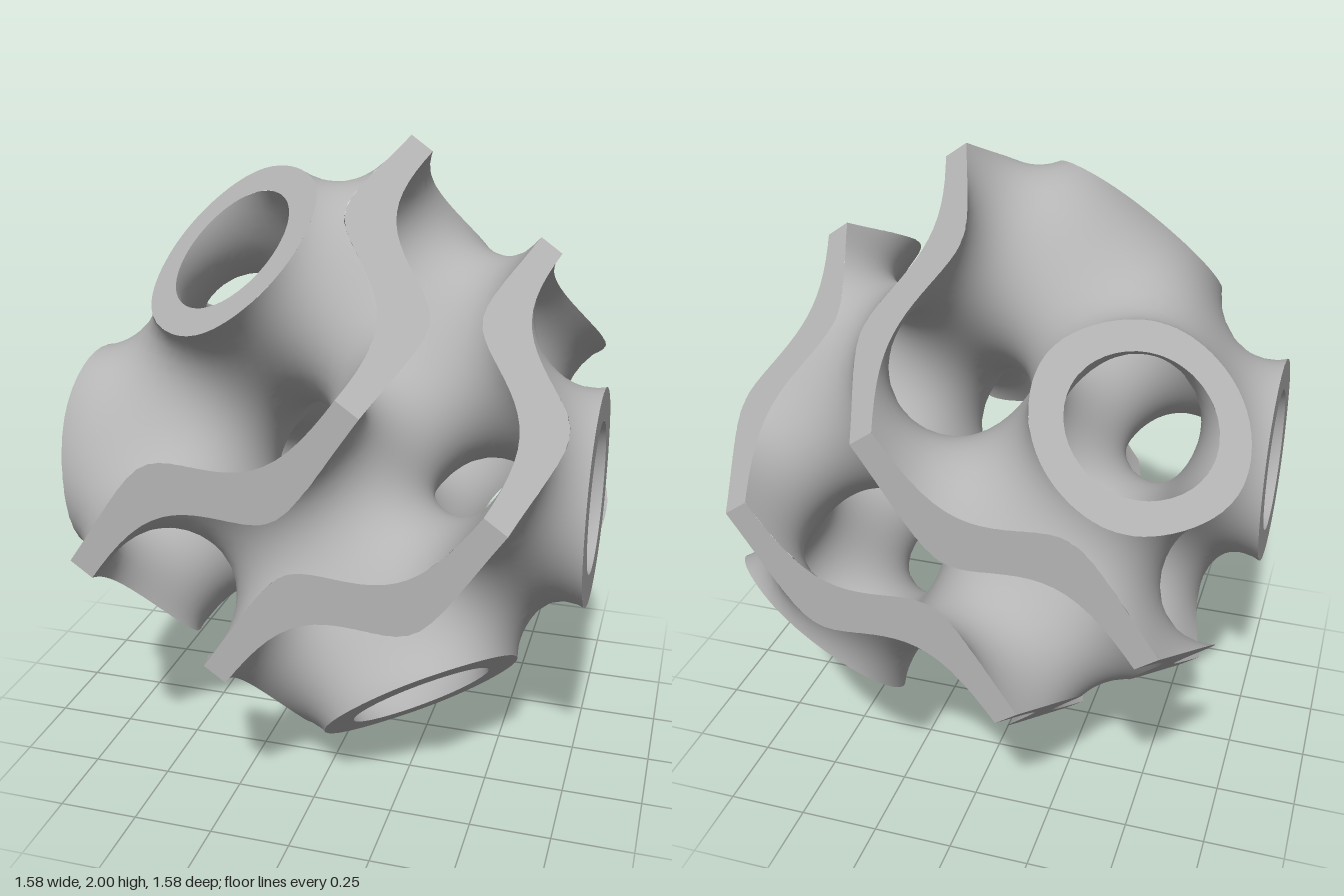
import * as THREE from 'three';
import { mergeVertices } from 'three/addons/utils/BufferGeometryUtils.js';

const R = 0.789;                 // distance from the centre to every cut face
const PERIOD = R * Math.SQRT2;   // length of one gyroid cell
const K = (2 * Math.PI) / PERIOD;
const LEVEL = 0.38;              // half thickness of the sheet in field units
const V = (x, y, z) => new THREE.Vector3(x, y, z);

// Gyroid field, its cell turned 45 degrees about y
function field(p) {
  const a = (K * (p.x + p.z)) / Math.SQRT2 + Math.PI / 4;
  const b = -K * p.y + Math.PI / 4;
  const c = (K * (p.x - p.z)) / Math.SQRT2 + Math.PI / 4;
  return Math.sin(a) * Math.cos(b) + Math.sin(b) * Math.cos(c) + Math.sin(c) * Math.cos(a);
}

function gradient(p) {
  const h = 1e-4;
  const slope = (d) => (field(p.clone().add(d)) - field(p.clone().sub(d))) / (2 * h);
  return V(slope(V(h, 0, 0)), slope(V(0, h, 0)), slope(V(0, 0, h)));
}

// Face normals of the rhombic dodecahedron that bounds the block
const normals = [V(1, 0, 0), V(-1, 0, 0), V(0, 0, 1), V(0, 0, -1)];
for (const sx of [-1, 1]) for (const sy of [-1, 1]) for (const sz of [-1, 1]) {
  normals.push(V(sx * 0.5, sy * Math.SQRT1_2, sz * 0.5));
}

// Keep the part of a polygon where f <= 0
function clip(poly, f) {
  const d = poly.map(f);
  const out = [];
  poly.forEach((p, i) => {
    const j = (i + 1) % poly.length;
    if (d[i] <= 0) out.push(p);
    if ((d[i] <= 0) !== (d[j] <= 0)) out.push(p.clone().lerp(poly[j], d[i] / (d[i] - d[j])));
  });
  return out;
}

function clipToBlock(poly) {
  for (const n of normals) {
    if (poly.length < 3) return [];
    poly = clip(poly, (p) => p.dot(n) - R - 1e-7);
  }
  return poly;
}

// Fan a polygon into triangles that face along 'facing'
function addPolygon(positions, poly, facing) {
  for (let i = 1; i + 1 < poly.length; i++) {
    const [a, b, c] = [poly[0], poly[i], poly[i + 1]];
    const n = b.clone().sub(a).cross(c.clone().sub(a));
    if (n.lengthSq() < 1e-16) continue;
    for (const p of n.dot(facing) > 0 ? [a, b, c] : [a, c, b]) positions.push(p.x, p.y, p.z);
  }
}

function makeGeometry(positions) {
  const g = new THREE.BufferGeometry();
  g.setAttribute('position', new THREE.Float32BufferAttribute(positions, 3));
  return g;
}

// Point on a grid edge where the field equals the level, moved onto the true surface
function crossing(a, b, level) {
  const p = a.p.clone().lerp(b.p, (level - a.f) / (b.f - a.f));
  const g = gradient(p);
  return p.addScaledVector(g, (level - field(p)) / Math.max(g.lengthSq(), 1));
}

// One smooth side of the sheet, traced through a grid of tetrahedra
function sheetSide(side) {
  const level = side * LEVEL;
  const step = 0.045;
  const nx = Math.ceil(R / step), ny = Math.ceil(1.03 / step);
  const orders = [[0, 1, 2], [0, 2, 1], [1, 0, 2], [1, 2, 0], [2, 0, 1], [2, 1, 0]];
  const positions = [];
  const corner = (i, j, k) => {
    const p = V(i * step, j * step, k * step);
    return { p, f: field(p) };
  };
  for (let i = -nx; i < nx; i++) for (let j = -ny; j < ny; j++) for (let k = -nx; k < nx; k++) {
    const mid = V(i + 0.5, j + 0.5, k + 0.5).multiplyScalar(step);
    if (normals.some((n) => mid.dot(n) > R + step)) continue;
    const cube = [];
    for (let m = 0; m < 8; m++) cube.push(corner(i + (m & 1), j + ((m >> 1) & 1), k + (m >> 2)));
    for (const [a, b] of orders) {
      const tet = [cube[0], cube[1 << a], cube[(1 << a) | (1 << b)], cube[7]];
      const lo = tet.filter((q) => q.f < level);
      const hi = tet.filter((q) => q.f >= level);
      if (!lo.length || !hi.length) continue;
      const pairs = lo.length === 2
        ? [[lo[0], hi[0]], [lo[0], hi[1]], [lo[1], hi[1]], [lo[1], hi[0]]]
        : lo.flatMap((l) => hi.map((h) => [l, h]));
      const poly = clipToBlock(pairs.map(([l, h]) => crossing(l, h, level)));
      if (poly.length > 2) addPolygon(positions, poly, gradient(poly[0]).multiplyScalar(side));
    }
  }
  const g = makeGeometry(positions);
  const normal = [];
  for (let i = 0; i < positions.length; i += 3) {
    const n = gradient(V(positions[i], positions[i + 1], positions[i + 2])).normalize();
    normal.push(side * n.x, side * n.y, side * n.z);
  }
  g.setAttribute('normal', new THREE.Float32BufferAttribute(normal, 3));
  return mergeVertices(g, 1e-5);
}

// Flat section of the sheet on one face of the block
function cutFace(n) {
  const positions = [];
  const count = 48;
  const t = V(-n.z, 0, n.x).normalize();
  const s = n.clone().cross(t);
  const at = (i, j) => n.clone().multiplyScalar(R)
    .addScaledVector(t, ((2 * i) / count - 1) * R * 1.01)
    .addScaledVector(s, ((2 * j) / count - 1) * R * 1.01);
  for (let i = 0; i < count; i++) for (let j = 0; j < count; j++) {
    const [a, b, c, d] = [at(i, j), at(i + 1, j), at(i + 1, j + 1), at(i, j + 1)];
    for (const tri of [[a, b, c], [a, c, d]]) {
      let poly = clipToBlock(tri);
      if (poly.length > 2) poly = clip(poly, (p) => field(p) - LEVEL);
      if (poly.length > 2) poly = clip(poly, (p) => -field(p) - LEVEL);
      if (poly.length > 2) addPolygon(positions, poly, n);
    }
  }
  const g = makeGeometry(positions);
  g.computeVertexNormals();
  return g;
}

export function createModel() {
  const grey = new THREE.MeshStandardMaterial({ color: 0xb4b4b4 });
  grey.name = 'plainGrey';
  const model = new THREE.Group();
  model.name = 'gyroidBlock';
  const add = (name, geometry) => {
    const mesh = new THREE.Mesh(geometry, grey);
    mesh.name = name;
    mesh.position.y = 1;
    model.add(mesh);
  };
  add('sheetFirstSide', sheetSide(1));
  add('sheetSecondSide', sheetSide(-1));
  normals.forEach((n, i) => add(`cutFace${i + 1}`, cutFace(n)));
  return model;
}
